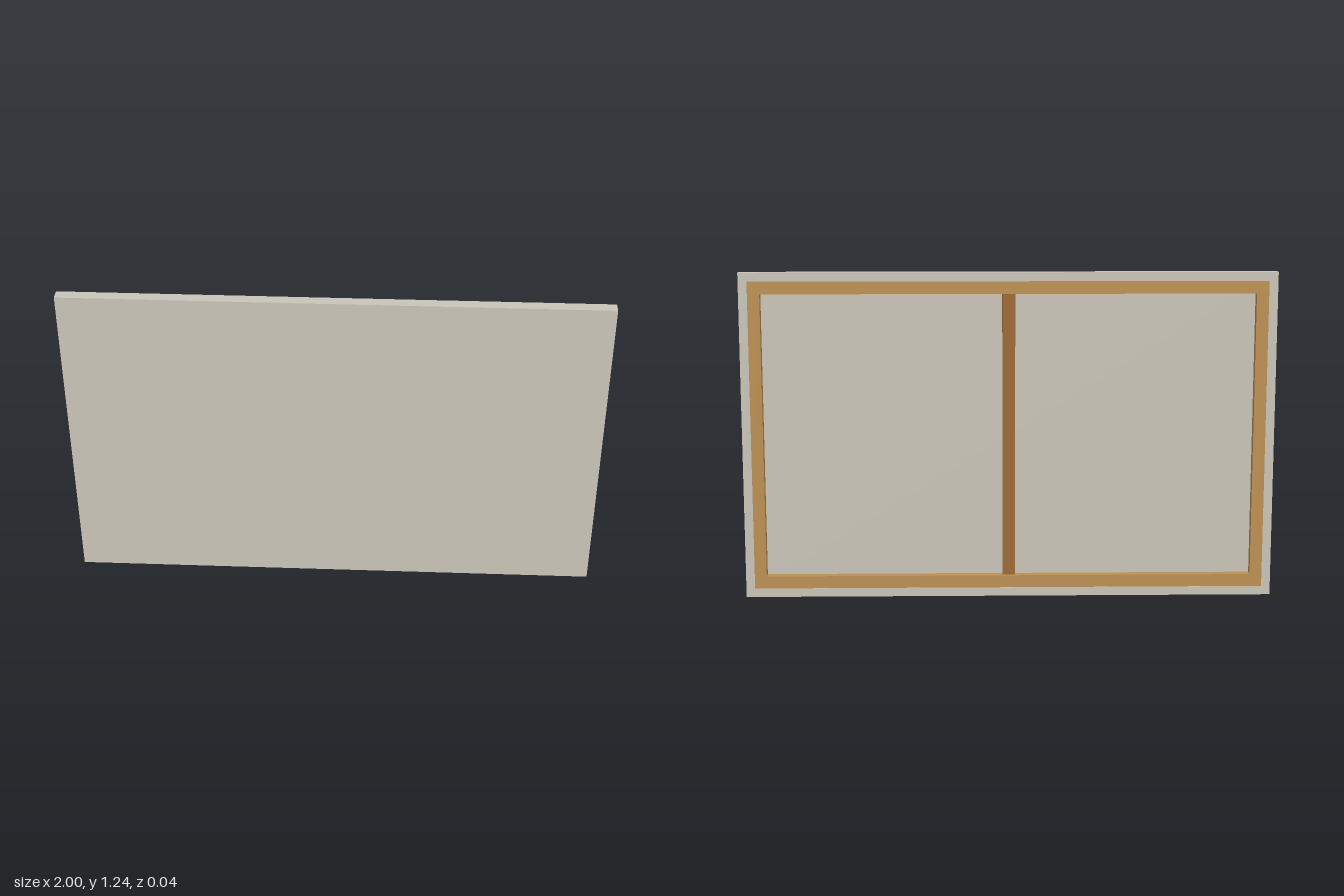
import * as THREE from 'three';

const W = 2, H = 1.235, D = 0.043;   // overall size
const FOLD = 0.033;                  // width of cloth folded over the back
const BAR = 0.08;                    // visible inner edge of the bars, from the outside
const PANEL_Z = 0.015;               // inner face of the front panel
const WALL = 0.006;

export function createModel() {
  const canvas = new THREE.MeshStandardMaterial({ color: 0xc9c4b8 });
  canvas.name = 'canvasCloth';
  const wood = new THREE.MeshStandardMaterial({ color: 0xbd9052 });
  wood.name = 'lightWood';
  const darkWood = new THREE.MeshStandardMaterial({ color: 0x9b6935 });
  darkWood.name = 'darkWood';

  const model = new THREE.Group();
  model.name = 'stretchedCanvas';

  // Box given by its minimum and maximum corners
  const box = (name, mat, x0, x1, y0, y1, z0, z1) => {
    const mesh = new THREE.Mesh(new THREE.BoxGeometry(x1 - x0, y1 - y0, z1 - z0), mat);
    mesh.position.set((x0 + x1) / 2, (y0 + y1) / 2, (z0 + z1) / 2);
    mesh.name = name;
    model.add(mesh);
  };

  // Rectangular ring with a border of the given width
  const ring = (name, border, z0, z1) => {
    const rect = (Kind, m) => new Kind([
      new THREE.Vector2(-W / 2 + m, m), new THREE.Vector2(W / 2 - m, m),
      new THREE.Vector2(W / 2 - m, H - m), new THREE.Vector2(-W / 2 + m, H - m),
    ]);
    const shape = rect(THREE.Shape, 0);
    shape.holes.push(rect(THREE.Path, border));
    const geo = new THREE.ExtrudeGeometry(shape, { depth: z1 - z0, bevelEnabled: false });
    const mesh = new THREE.Mesh(geo, canvas);
    mesh.position.z = z0;
    mesh.name = name;
    model.add(mesh);
  };

  // Cloth: front, wrapped sides and the fold on the back
  box('frontPanel', canvas, -W / 2, W / 2, 0, H, PANEL_Z, D / 2);
  ring('wrappedSides', WALL, -D / 2 + 0.001, PANEL_Z);
  ring('backFold', FOLD, -D / 2, -D / 2 + 0.001);

  // Horizontal stretcher bars, nearly flush with the back
  const xo = W / 2 - WALL;
  box('bottomBar', wood, -xo, xo, WALL, BAR, -0.0205, PANEL_Z);
  box('topBar', wood, -xo, xo, H - BAR, H - WALL, -0.0205, PANEL_Z);

  // Side bars, set in slightly
  const xi = W / 2 - 0.078;
  box('leftBar', wood, xi, xo, BAR, H - BAR, -0.017, PANEL_Z);
  box('rightBar', wood, -xo, -xi, BAR, H - BAR, -0.017, PANEL_Z);

  // Centre brace, set in further
  box('centreBrace', darkWood, -0.024, 0.024, BAR, H - BAR, -0.012, PANEL_Z);

  return model;
}
